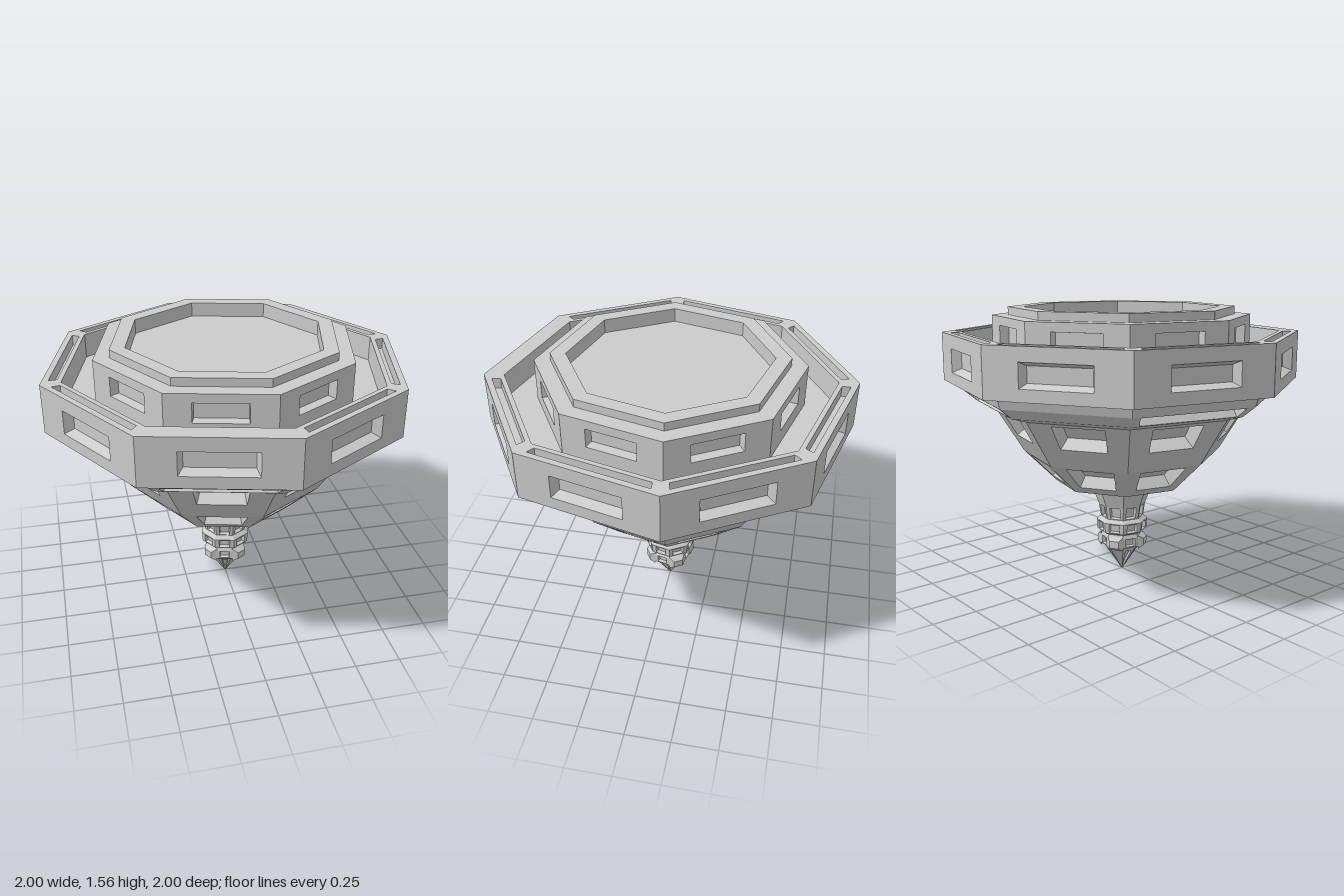
import * as THREE from 'three';

const SIDES = 8;
const STEP = (Math.PI * 2) / SIDES;
const START = -0.149; // turn of the octagon about the vertical axis

const ring = (r, y, k) => new THREE.Vector3(
  r * Math.cos(START + k * STEP), y, r * Math.sin(START + k * STEP));

function quad(out, a, b, c, d) {
  for (const p of [a, b, c, a, c, d]) out.push(p.x, p.y, p.z);
}

// One side of a tier, optionally with a panel sunk (depth > 0) or raised (depth < 0).
// w: panel width as a fraction, v0..v1: extent up the face, taper: how far the floor shrinks.
function addFace(out, [r0, y0], [r1, y1], k, panel) {
  const c = [ring(r0, y0, k + 1), ring(r0, y0, k), ring(r1, y1, k), ring(r1, y1, k + 1)];
  if (!panel) return quad(out, ...c);
  const { w, v0, v1, depth, taper = 0 } = panel;
  const at = (u, v) => c[0].clone().lerp(c[1], u).lerp(c[3].clone().lerp(c[2], u), v);
  const lo = (1 - w) / 2, hi = (1 + w) / 2;
  const edge = [at(lo, v0), at(hi, v0), at(hi, v1), at(lo, v1)];
  const normal = c[2].clone().sub(c[0]).cross(c[3].clone().sub(c[1])).normalize();
  const across = c[1].clone().sub(c[0]).normalize();
  const up = normal.clone().cross(across);
  const signs = [[1, 1], [-1, 1], [-1, -1], [1, -1]];
  const floor = edge.map((p, i) => p.clone()
    .addScaledVector(across, signs[i][0] * taper)
    .addScaledVector(up, signs[i][1] * taper)
    .addScaledVector(normal, -depth));
  for (let i = 0; i < 4; i++) {
    const j = (i + 1) % 4;
    quad(out, c[i], c[j], edge[j], edge[i]);
    quad(out, edge[i], edge[j], floor[j], floor[i]);
  }
  quad(out, ...floor);
}

// Stack of tiers following a profile of [radius, height]; panels[i] picks the panel of tier i on side k.
function tiers(name, profile, panels = {}) {
  const out = [];
  for (let i = 0; i < profile.length - 1; i++) {
    for (let k = 0; k < SIDES; k++) {
      addFace(out, profile[i], profile[i + 1], k, panels[i] && panels[i](k));
    }
  }
  const geometry = new THREE.BufferGeometry();
  geometry.setAttribute('position', new THREE.Float32BufferAttribute(out, 3));
  geometry.computeVertexNormals();
  const mesh = new THREE.Mesh(geometry,
    new THREE.MeshStandardMaterial({ color: 0xcccccc, flatShading: true }));
  mesh.name = name;
  return mesh;
}

export function createModel() {
  const group = new THREE.Group();
  group.name = 'floatingStation';
  const all = (panel) => () => panel;
  const even = (panel, other) => (k) => (k % 2 === 0 ? panel : other);

  group.add(
    // Pointed tip with narrow grooves on every second side
    tiers('tip', [[0.003, 0], [0.1, 0.145]], {
      0: even({ w: 0.5, v0: 0.12, v1: 0.92, depth: 0.015 }),
    }),
    // Collar of alternating windows and raised pods
    tiers('podCollar', [[0.1, 0.145], [0.125, 0.165], [0.125, 0.22], [0.115, 0.24]], {
      1: even({ w: 0.6, v0: 0.1, v1: 0.9, depth: 0.02, taper: 0.004 },
        { w: 1, v0: -0.3, v1: 1.2, depth: -0.028, taper: 0.02 }),
    }),
    // Windowed collar and neck of the stem
    tiers('stem', [[0.115, 0.24], [0.145, 0.255], [0.15, 0.315], [0.125, 0.335],
      [0.137, 0.41], [0.192, 0.555]], {
      1: all({ w: 0.56, v0: 0.08, v1: 0.9, depth: 0.02, taper: 0.004 }),
      3: all({ w: 0.62, v0: 0.05, v1: 0.95, depth: 0.02, taper: 0.004 }),
    }),
    // Lower hull with two rows of sunk windows
    tiers('hull', [[0.192, 0.555], [0.385, 0.555], [0.57, 0.735], [0.735, 1.0]], {
      1: all({ w: 0.64, v0: 0.22, v1: 0.93, depth: 0.07, taper: 0.015 }),
      2: all({ w: 0.53, v0: 0.43, v1: 0.94, depth: 0.08, taper: 0.015 }),
    }),
    // Belt under the rim, with long slots on every second side
    tiers('belt', [[0.735, 1.0], [0.83, 1.03], [0.905, 1.09], [0.925, 1.15]], {
      1: even({ w: 0.87, v0: 0.08, v1: 0.93, depth: 0.06, taper: 0.006 }),
    }),
    // Outer rim: side windows and top slots (the front side has none on top)
    tiers('rim', [[0.925, 1.15], [1.011, 1.15], [1.011, 1.42], [0.9, 1.42], [0.9, 1.28]], {
      1: all({ w: 0.5, v0: 0.24, v1: 0.72, depth: 0.05, taper: 0.022 }),
      2: (k) => (k === 2 ? null : { w: 0.88, v0: 0.32, v1: 0.75, depth: 0.06 }),
    }),
    // Trough floor, windowed inner wall, step and basin
    tiers('deck', [[0.9, 1.28], [0.73, 1.28], [0.73, 1.515], [0.64, 1.515],
      [0.64, 1.56], [0.555, 1.56], [0.555, 1.48], [0.001, 1.48]], {
      1: all({ w: 0.5, v0: 0.34, v1: 0.79, depth: 0.05, taper: 0.005 }),
    }),
  );
  return group;
}
